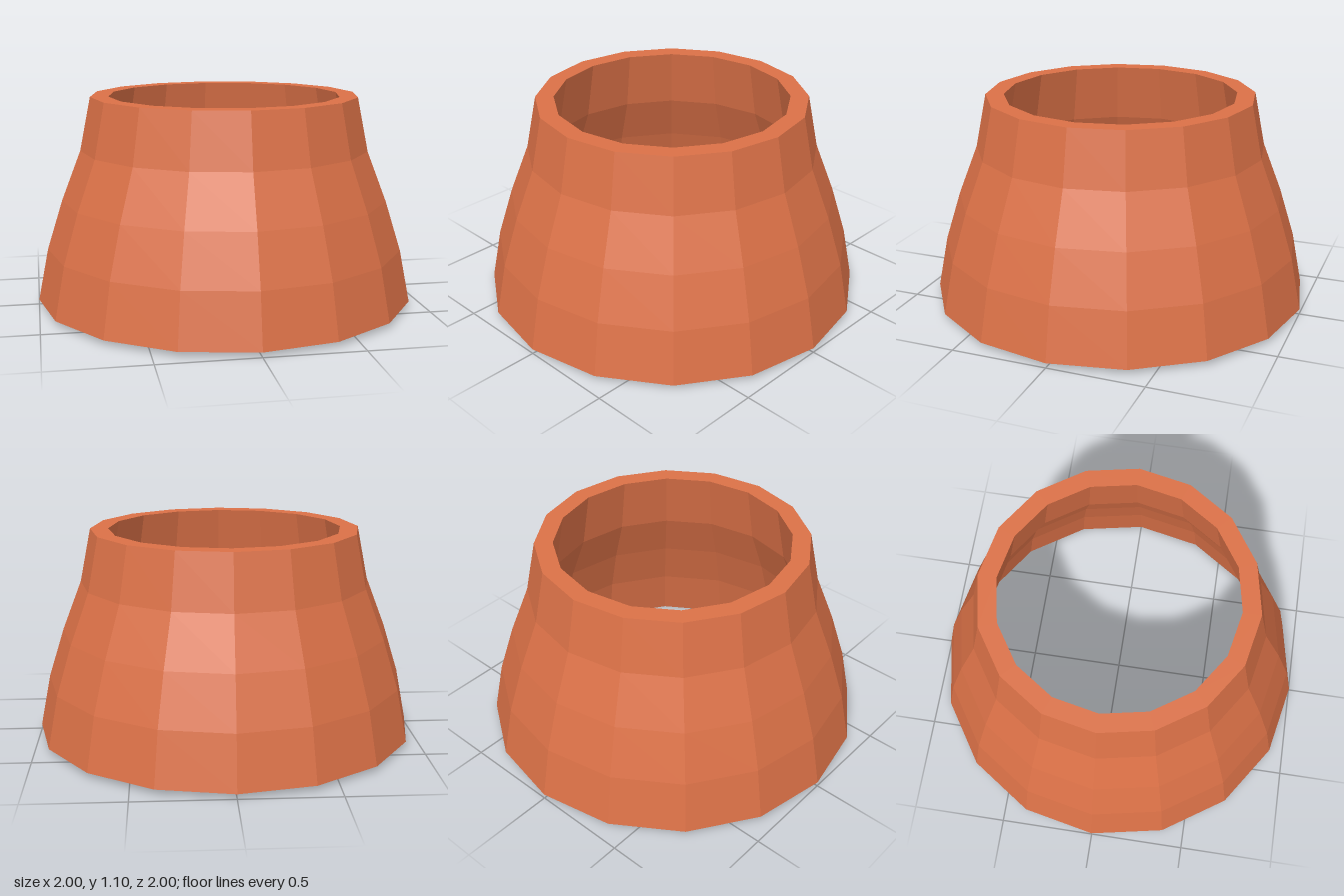
import * as THREE from 'three';

export function createModel() {
  const group = new THREE.Group();
  group.name = 'flaredCollar';
  const terracotta = new THREE.MeshStandardMaterial({ color: 0xdb7147 });
  terracotta.name = 'terracotta';
  terracotta.flatShading = true;

  // Outer wall from foot to rim
  const outer = [[1, 0.025], [0.945, 0.3], [0.863, 0.56], [0.762, 0.82], [0.705, 1.1]];
  // Inner wall from rim back down to foot
  const inner = [[0.61, 1.1], [0.67, 0.79], [0.776, 0.53], [0.857, 0.27], [0.91, 0]];

  // Closed loop, so the rim and foot rings are part of the same lathe
  const profile = [...outer, ...inner, outer[0]].map(([r, y]) => new THREE.Vector2(r, y));
  const collar = new THREE.Mesh(new THREE.LatheGeometry(profile, 16), terracotta);
  collar.name = 'collarWall';
  group.add(collar);
  return group;
}
